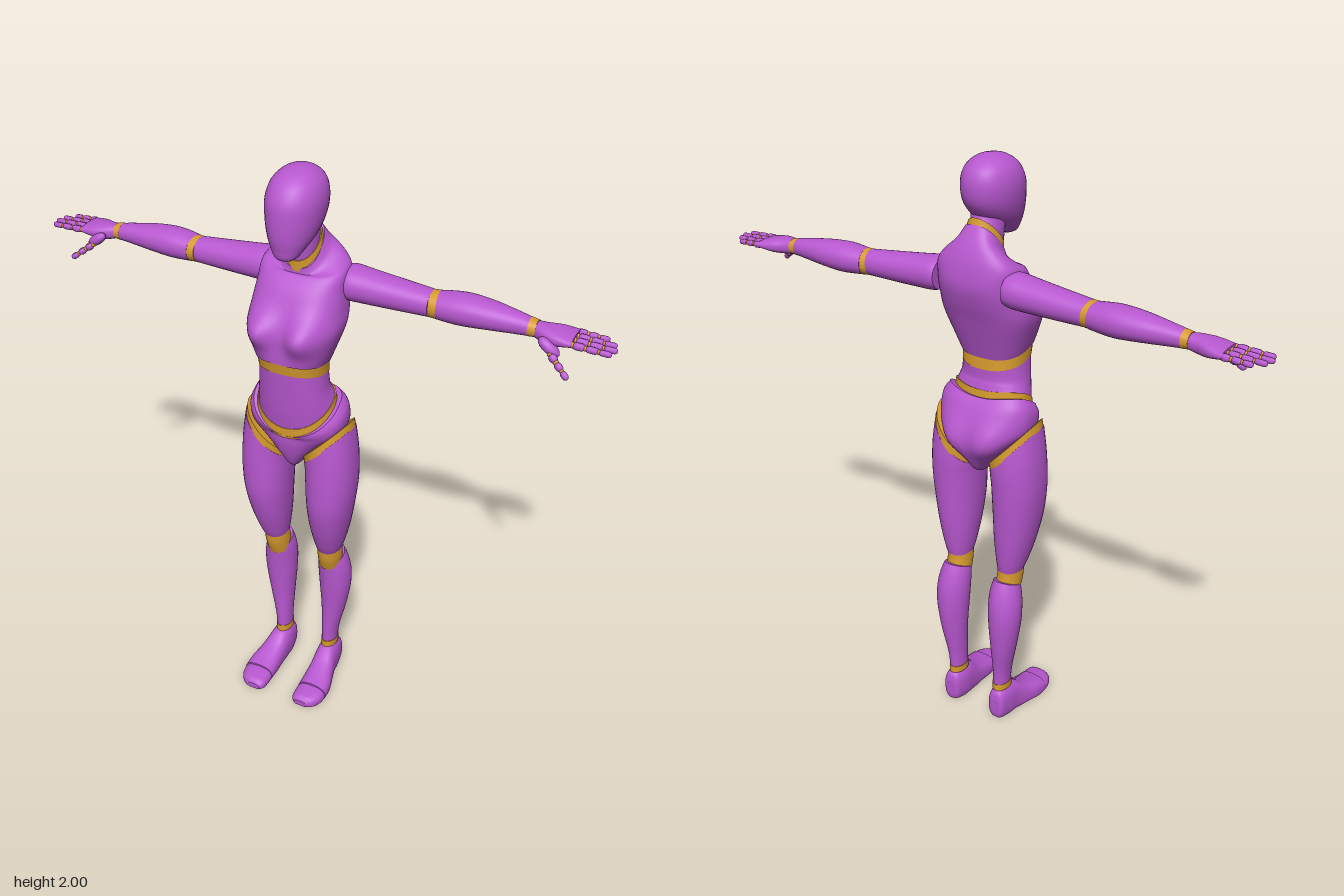
import * as THREE from 'three';

const purple = new THREE.MeshStandardMaterial({ color: 0xb858d0 });
purple.name = 'purple';
const amber = new THREE.MeshStandardMaterial({ color: 0xd69b2e });
amber.name = 'amber';

// Smooth curve through the section values
function spline(p0, p1, p2, p3, t) {
  return 0.5 * (2 * p1 + (p2 - p0) * t + (2 * p0 - 5 * p1 + 4 * p2 - p3) * t * t
    + (3 * p1 - p0 - 3 * p2 + p3) * t * t * t);
}

// Loft of superellipses. Section: [s, a, b, ra, rb, tiltA, tiltB, bend], s ascending.
// Axis y: (a,b) = (x,z).  Axis x: (a,b) = (z,y).  Axis z: (a,b) = (y,x).
function loft(sections, { axis = 'y', power = 2, segs = 36, steps = 6, shape = null } = {}) {
  const pos = [], index = [];
  const put = (a, s, b) => {
    const v = axis === 'y' ? new THREE.Vector3(a, s, b)
      : axis === 'x' ? new THREE.Vector3(s, b, a) : new THREE.Vector3(b, a, s);
    if (shape) shape(v);
    pos.push(v.x, v.y, v.z);
  };
  const last = sections.length - 1;
  const get = (i, k) => sections[Math.min(Math.max(i, 0), last)][k] ?? 0;
  const ring = (i, t) => {
    const [s, a, b, ra, rb, ta, tb, bend] = [0, 1, 2, 3, 4, 5, 6, 7].map(
      k => spline(get(i - 1, k), get(i, k), get(i + 1, k), get(i + 2, k), t));
    for (let j = 0; j < segs; j++) {
      const c = Math.cos(j / segs * Math.PI * 2), d = Math.sin(j / segs * Math.PI * 2);
      const u = ra * Math.sign(c) * Math.abs(c) ** (2 / power);
      const w = rb * Math.sign(d) * Math.abs(d) ** (2 / power);
      put(a + u, s + ta * u + tb * w + bend * u * u, b + w);
    }
  };
  for (let i = 0; i < last; i++) for (let k = 0; k < steps; k++) ring(i, k / steps);
  ring(last, 0);
  const rings = last * steps + 1;
  for (let r = 0; r < rings - 1; r++) {
    for (let j = 0; j < segs; j++) {
      const p = r * segs + j, q = r * segs + (j + 1) % segs;
      index.push(p, p + segs, q, q, p + segs, q + segs);
    }
  }
  // End caps with their own vertices keep the rims sharp
  for (const [r, top] of [[0, false], [rings - 1, true]]) {
    const base = pos.length / 3, mid = [0, 0, 0];
    for (let j = 0; j < segs; j++) for (let k = 0; k < 3; k++) {
      const v = pos[(r * segs + j) * 3 + k];
      pos.push(v);
      mid[k] += v / segs;
    }
    pos.push(...mid);
    for (let j = 0; j < segs; j++) {
      const p = base + j, q = base + (j + 1) % segs;
      if (top) index.push(p, base + segs, q); else index.push(p, q, base + segs);
    }
  }
  const g = new THREE.BufferGeometry();
  g.setAttribute('position', new THREE.Float32BufferAttribute(pos, 3));
  g.setIndex(index);
  g.computeVertexNormals();
  return g;
}

function mirrored(geometry) {
  const g = geometry.clone().scale(-1, 1, 1), ix = g.index.array;
  for (let i = 0; i < ix.length; i += 3) [ix[i], ix[i + 1]] = [ix[i + 1], ix[i]];
  g.computeVertexNormals();
  return g;
}

export function createModel() {
  const model = new THREE.Group();
  model.name = 'mannequin';
  const add = (name, geometry, material = purple) => {
    const m = new THREE.Mesh(geometry, material);
    m.name = name;
    model.add(m);
  };
  const pair = (name, geometry, material = purple) => {
    add('left' + name, geometry, material);
    add('right' + name, mirrored(geometry), material);
  };
  const bump = (v, x, y, size) =>
    Math.exp(-((Math.abs(v.x) - x) ** 2 + (v.y - y) ** 2) / (size * size));

  // Head and neck
  add('head', loft([
    [1.733, 0, 0.07, 0.008, 0.008], [1.745, 0, 0.068, 0.034, 0.032], [1.775, 0, 0.048, 0.055, 0.06],
    [1.81, 0, 0.022, 0.073, 0.092], [1.86, 0, 0.002, 0.086, 0.113], [1.915, 0, -0.006, 0.089, 0.115],
    [1.96, 0, -0.012, 0.076, 0.096], [1.988, 0, -0.015, 0.048, 0.06], [1.998, 0, -0.016, 0.018, 0.022],
    [2.0, 0, -0.016, 0.002, 0.002]], { power: 2.1 }));
  add('neck', loft([[1.75, 0, -0.045, 0.053, 0.05, 0, -1.1], [1.79, 0, -0.035, 0.054, 0.05, 0, -0.6],
    [1.84, 0, -0.03, 0.055, 0.05]]));
  add('neckBand', loft([[1.73, 0, -0.05, 0.06, 0.056, 0, -1.1], [1.762, 0, -0.045, 0.056, 0.053, 0, -1.1]],
    { steps: 1 }), amber);

  // Chest with bust
  add('chest', loft([
    [1.38, 0, 0.022, 0.113, 0.1, 0, 0.2], [1.42, 0, 0.012, 0.128, 0.107, 0, 0.1],
    [1.5, 0, -0.012, 0.152, 0.115], [1.56, 0, -0.032, 0.15, 0.118], [1.62, 0, -0.053, 0.144, 0.112],
    [1.67, 0, -0.068, 0.141, 0.092, 0, -0.1], [1.695, 0, -0.068, 0.118, 0.078, 0, -0.4],
    [1.715, 0, -0.06, 0.078, 0.066, 0, -0.8], [1.74, 0, -0.05, 0.059, 0.055, 0, -1.1]], {
    power: 2.6, segs: 64,
    shape: v => { if (v.z > 0) v.z += 0.055 * bump(v, 0.075, 1.5, 0.058) * Math.min(1, v.z / 0.06); },
  }));
  add('waistBand', loft([[1.342, 0, 0.017, 0.111, 0.098, 0, 0.2], [1.382, 0, 0.022, 0.113, 0.1, 0, 0.2]],
    { power: 2.3 }), amber);
  add('abdomen', loft([[1.198, 0, 0.001, 0.13, 0.088, 0, -0.6, 2], [1.24, 0, 0.008, 0.123, 0.09, 0, -0.35, 1],
    [1.29, 0, 0.014, 0.116, 0.092], [1.345, 0, 0.017, 0.111, 0.096, 0, 0.2]], { power: 2.2 }));
  add('hipBand', loft([[1.165, 0, -0.002, 0.137, 0.092, 0, -0.6, 2], [1.2, 0, 0, 0.133, 0.09, 0, -0.6, 2]],
    { power: 2.2 }), amber);

  // Pelvis with seat
  add('pelvis', loft([
    [0.958, 0, -0.035, 0.012, 0.05], [0.975, 0, -0.035, 0.028, 0.075], [1.02, 0, -0.037, 0.066, 0.099],
    [1.07, 0, -0.038, 0.114, 0.113], [1.12, 0, -0.034, 0.16, 0.113, 0, -0.15],
    [1.155, 0, -0.02, 0.168, 0.106, 0, -0.4, 1], [1.175, 0, -0.006, 0.148, 0.096, 0, -0.6, 2]], {
    power: 2.4, segs: 64,
    shape: v => { if (v.z < -0.04) v.z -= 0.026 * bump(v, 0.07, 1.09, 0.065) * Math.min(1, (-0.04 - v.z) / 0.06); },
  }));

  // Legs
  pair('HipJointBand', loft([[1.045, 0.109, -0.03, 0.08, 0.102, 1.05, 0.12],
    [1.074, 0.104, -0.03, 0.08, 0.1, 1.05, 0.12]], { steps: 1 }), amber);
  pair('Thigh', loft([
    [0.6, 0.105, -0.052, 0.041, 0.053], [0.64, 0.108, -0.046, 0.051, 0.066], [0.72, 0.113, -0.036, 0.066, 0.085],
    [0.82, 0.118, -0.027, 0.078, 0.1], [0.92, 0.12, -0.028, 0.085, 0.104],
    [0.99, 0.117, -0.03, 0.084, 0.104, 0.5, 0.05], [1.05, 0.109, -0.03, 0.079, 0.101, 1.05, 0.12]], { power: 2.15 }));
  pair('Knee', loft([[0.525, 0.102, -0.068, 0.041, 0.046, 0, -0.3], [0.57, 0.104, -0.056, 0.042, 0.051, 0, -0.15],
    [0.61, 0.105, -0.052, 0.041, 0.053]]), amber);
  pair('Calf', loft([
    [0.135, 0.094, -0.089, 0.027, 0.04], [0.2, 0.097, -0.09, 0.031, 0.043], [0.3, 0.105, -0.096, 0.044, 0.052],
    [0.4, 0.109, -0.096, 0.056, 0.06], [0.47, 0.108, -0.092, 0.058, 0.062], [0.52, 0.105, -0.083, 0.053, 0.057, 0, -0.2],
    [0.552, 0.103, -0.073, 0.044, 0.05, 0, -0.4]]));
  pair('AnkleBand', loft([[0.115, 0.094, -0.089, 0.029, 0.043], [0.14, 0.094, -0.089, 0.029, 0.042]]), amber);
  const sole = v => { v.y = Math.max(v.y, 0); };
  pair('Foot', loft([
    [-0.14, 0.05, 0.097, 0.03, 0.018], [-0.13, 0.052, 0.096, 0.058, 0.031], [-0.085, 0.048, 0.096, 0.073, 0.039],
    [-0.045, 0.042, 0.098, 0.07, 0.041], [0, 0.028, 0.104, 0.055, 0.047], [0.05, 0.019, 0.11, 0.044, 0.054],
    [0.095, 0.014, 0.111, 0.037, 0.055]], { axis: 'z', power: 2.5, shape: sole }));
  pair('Toes', loft([[0.085, 0.013, 0.111, 0.033, 0.054], [0.12, 0.012, 0.109, 0.029, 0.053],
    [0.15, 0.011, 0.103, 0.024, 0.043], [0.165, 0.01, 0.098, 0.012, 0.025]],
  { axis: 'z', power: 2.5, shape: sole }));

  // Arms, section order x, z, y, depth, height
  const limb = { axis: 'x', power: 2.15 };
  pair('UpperArm', loft([
    [0.125, -0.096, 1.622, 0.06, 0.05], [0.15, -0.096, 1.621, 0.064, 0.055], [0.21, -0.098, 1.617, 0.06, 0.052],
    [0.3, -0.101, 1.612, 0.054, 0.047], [0.405, -0.104, 1.607, 0.046, 0.041]], limb));
  pair('ElbowBand', loft([[0.4, -0.104, 1.607, 0.046, 0.041, 0.15], [0.43, -0.106, 1.606, 0.048, 0.042, 0.15]], limb), amber);
  pair('Forearm', loft([
    [0.425, -0.106, 1.606, 0.049, 0.042, 0.15], [0.5, -0.111, 1.608, 0.058, 0.048], [0.58, -0.112, 1.608, 0.053, 0.043],
    [0.66, -0.111, 1.605, 0.039, 0.034], [0.715, -0.11, 1.602, 0.03, 0.027]], limb));
  pair('WristBand', loft([[0.71, -0.11, 1.602, 0.031, 0.028], [0.733, -0.11, 1.601, 0.029, 0.025]], limb), amber);
  pair('Palm', loft([
    [0.73, -0.11, 1.6, 0.027, 0.023], [0.76, -0.106, 1.597, 0.037, 0.026], [0.8, -0.109, 1.596, 0.05, 0.024],
    [0.848, -0.113, 1.596, 0.053, 0.014]], { axis: 'x', power: 2.4 }));

  // Fingers and thumb: three rounded links with small joints
  const digit = (name, from, to, radius) => {
    const dir = to.clone().sub(from), step = dir.length() / 3;
    const q = new THREE.Quaternion().setFromUnitVectors(new THREE.Vector3(0, 1, 0), dir.clone().normalize());
    for (let i = 0; i < 3; i++) {
      const r = radius * (1 - 0.1 * i), mid = from.clone().addScaledVector(dir, (i + 0.5) / 3);
      const link = new THREE.CapsuleGeometry(r, Math.max(step - 2 * r, 0.004), 4, 10);
      pair(name + 'Link' + (i + 1), link.applyQuaternion(q).translate(mid.x, mid.y, mid.z));
      const at = from.clone().addScaledVector(dir, i / 3);
      pair(name + 'Joint' + (i + 1), new THREE.SphereGeometry(r * 0.8, 10, 8).translate(at.x, at.y, at.z), amber);
    }
  };
  [['IndexFinger', -0.07, 0.966], ['MiddleFinger', -0.099, 0.975], ['RingFinger', -0.127, 0.966],
    ['LittleFinger', -0.155, 0.937]].forEach(([name, z, tip]) =>
    digit(name, new THREE.Vector3(0.85 - (z < -0.15 ? 0.01 : 0), 1.596, z), new THREE.Vector3(tip, 1.592, z), 0.0115));
  pair('ThumbBase', new THREE.SphereGeometry(1, 16, 12).scale(0.04, 0.018, 0.02)
    .rotateZ(-0.6).translate(0.785, 1.577, -0.062));
  digit('Thumb', new THREE.Vector3(0.795, 1.562, -0.05), new THREE.Vector3(0.862, 1.512, -0.016), 0.0125);

  return model;
}
